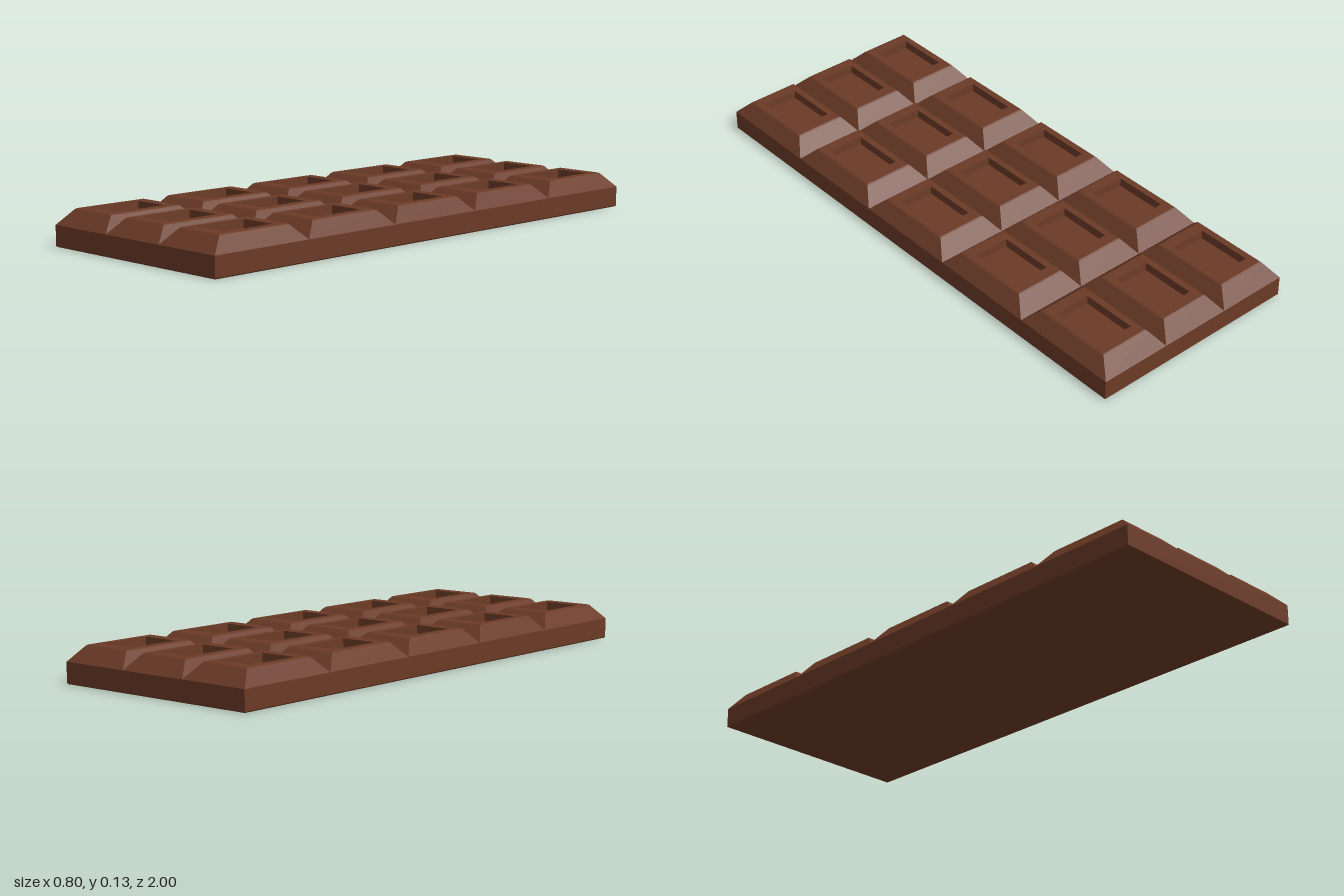
import * as THREE from 'three';

const COLS = 3, ROWS = 5;
const HALF_W = 0.4, HALF_L = 1, GROOVE_Y = 0.075, TOP_Y = 0.13;

// Skins a stack of concentric rectangles, each [half width, y, half length]
function rectLoft(rings) {
  const corners = [[1, 1], [1, -1], [-1, -1], [-1, 1]];
  const point = ([w, y, l], i) => {
    const [sx, sz] = corners[i % 4];
    return [sx * w, y, sz * l];
  };
  const positions = [];
  for (let r = 0; r < rings.length - 1; r++) {
    for (let i = 0; i < 4; i++) {
      const a = point(rings[r], i), b = point(rings[r], i + 1);
      const c = point(rings[r + 1], i + 1), d = point(rings[r + 1], i);
      // Skip the collapsed triangles where a ring shrinks to a point
      if (rings[r][0] > 0) positions.push(...a, ...b, ...c);
      if (rings[r + 1][0] > 0) positions.push(...a, ...c, ...d);
    }
  }
  const geometry = new THREE.BufferGeometry();
  geometry.setAttribute('position', new THREE.Float32BufferAttribute(positions, 3));
  geometry.computeVertexNormals();
  return geometry;
}

export function createModel() {
  const group = new THREE.Group();
  group.name = 'chocolateBar';
  const chocolate = new THREE.MeshStandardMaterial({ color: 0x6b3a26, flatShading: true });

  // Slab below the grooves, with a fine bevel around the underside
  const base = new THREE.Mesh(rectLoft([
    [0, 0, 0],
    [HALF_W - 0.004, 0, HALF_L - 0.004],
    [HALF_W, 0.004, HALF_L],
    [HALF_W, GROOVE_Y, HALF_L],
  ]), chocolate);
  base.name = 'base';
  group.add(base);

  // One square: sloping sides, softened rim and a sunken panel
  const w = HALF_W / COLS, l = HALF_L / ROWS;
  const floorY = TOP_Y - 0.03;
  const squareGeometry = rectLoft([
    [w, GROOVE_Y, l],
    [w - 0.038, TOP_Y - 0.003, l - 0.053],
    [w - 0.043, TOP_Y, l - 0.058],
    [0.068, TOP_Y, 0.101],
    [0.067, floorY, 0.1],
    [0, floorY, 0],
  ]);

  const squares = new THREE.Group();
  squares.name = 'squares';
  for (let row = 0; row < ROWS; row++) {
    for (let col = 0; col < COLS; col++) {
      const square = new THREE.Mesh(squareGeometry, chocolate);
      square.name = `square${row * COLS + col + 1}`;
      square.position.set((col * 2 + 1) * w - HALF_W, 0, (row * 2 + 1) * l - HALF_L);
      squares.add(square);
    }
  }
  group.add(squares);
  return group;
}
